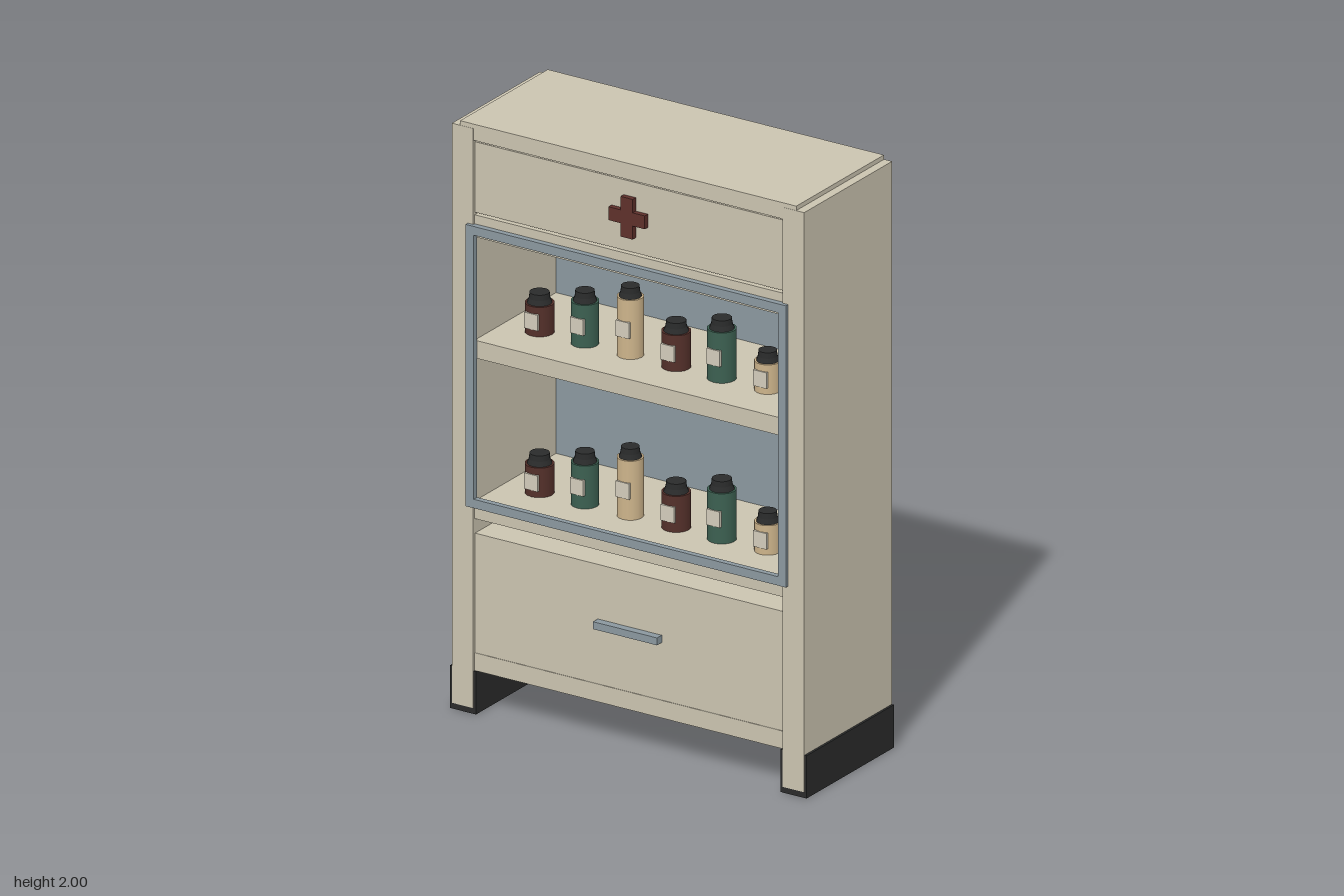
import * as THREE from 'three';

const mat = (name, color) => {
  const m = new THREE.MeshStandardMaterial({ color });
  m.name = name;
  return m;
};

export function createModel() {
  const cream = mat('cream paint', 0xcbc4b0);
  const steel = mat('blue grey steel', 0x8b989f);
  const black = mat('black rubber', 0x2a2b2b);
  const red = mat('dark red', 0x5e302b);
  const brown = mat('brown glass', 0x54302a);
  const green = mat('green glass', 0x3c6051);
  const tan = mat('tan ceramic', 0xcdb48b);
  const paper = mat('label paper', 0xd3ccbb);

  const model = new THREE.Group();
  model.name = 'medicineCabinet';

  // Box given by its limits on each axis
  const box = (name, material, [x0, x1], [y0, y1], [z0, z1], parent = model) => {
    const mesh = new THREE.Mesh(new THREE.BoxGeometry(x1 - x0, y1 - y0, z1 - z0), material);
    mesh.position.set((x0 + x1) / 2, (y0 + y1) / 2, (z0 + z1) / 2);
    mesh.name = name;
    parent.add(mesh);
    return mesh;
  };
  const span = (s, a, b) => (s > 0 ? [a, b] : [-b, -a]);

  // Side panels with rubber boots
  for (const s of [-1, 1]) {
    const side = s > 0 ? 'left' : 'right';
    box(side + 'SidePanel', cream, span(s, 0.58, 0.66), [0.02, 1.985], [-0.26, 0.24]);
    box(side + 'Boot', black, span(s, 0.571, 0.668), [0, 0.145], [-0.258, 0.238]);
  }

  // Horizontal boards running from front to back
  box('topBoard', cream, [-0.63, 0.63], [1.945, 2], [-0.259, 0.239]);
  const boards = { ceiling: [1.615, 1.69], shelf: [1.205, 1.265], floor: [0.66, 0.72], bottom: [0.145, 0.205] };
  for (const [name, y] of Object.entries(boards)) {
    box(name + 'Board', cream, [-0.58, 0.58], y, [-0.259, 0.232]);
  }

  // Back panel, header and drawer
  box('backPanel', steel, [-0.58, 0.58], [0.05, 1.96], [-0.25, -0.23]);
  box('headerPanel', cream, [-0.58, 0.58], [1.698, 1.937], [0.2, 0.23]);
  box('drawer', cream, [-0.58, 0.58], [0.2, 0.61], [-0.23, 0.23]);
  box('drawerHandle', steel, [-0.12, 0.12], [0.4, 0.425], [0.23, 0.257]);

  // Cross emblem
  const cross = new THREE.Shape();
  const a = 0.0225, b = 0.068;
  cross.setFromPoints([
    [-a, -b], [a, -b], [a, -a], [b, -a], [b, a], [a, a],
    [a, b], [-a, b], [-a, a], [-b, a], [-b, -a], [-a, -a],
  ].map(([x, y]) => new THREE.Vector2(x, y)));
  const emblem = new THREE.Mesh(new THREE.ExtrudeGeometry(cross, { depth: 0.02, bevelEnabled: false }), red);
  emblem.position.set(0, 1.818, 0.228);
  emblem.name = 'crossEmblem';
  model.add(emblem);

  // Window frame
  const frame = new THREE.Shape();
  frame.setFromPoints([[-0.6, 0.705], [0.6, 0.705], [0.6, 1.66], [-0.6, 1.66]].map(p => new THREE.Vector2(...p)));
  const opening = new THREE.Path();
  opening.setFromPoints([[-0.57, 0.735], [-0.57, 1.63], [0.57, 1.63], [0.57, 0.735]].map(p => new THREE.Vector2(...p)));
  frame.holes.push(opening);
  const windowFrame = new THREE.Mesh(new THREE.ExtrudeGeometry(frame, { depth: 0.02, bevelEnabled: false }), steel);
  windowFrame.position.z = 0.233;
  windowFrame.name = 'windowFrame';
  model.add(windowFrame);

  // Bottle with a stepped cap and a flat label
  const cylinder = (name, material, rTop, rBottom, y0, y1, parent) => {
    const mesh = new THREE.Mesh(new THREE.CylinderGeometry(rTop, rBottom, y1 - y0, 16), material);
    mesh.position.y = (y0 + y1) / 2;
    mesh.name = name;
    parent.add(mesh);
  };
  const makeBottle = (x, y, r, h, material) => {
    const bottle = new THREE.Group();
    bottle.name = 'bottle';
    cylinder('bottleBody', material, r, r, 0, h, bottle);
    cylinder('bottleNeck', black, r * 0.72, r * 0.85, h, h + 0.016, bottle);
    cylinder('bottleCap', black, r * 0.68, r * 0.72, h + 0.016, h + 0.035, bottle);
    box('bottleLabel', paper, [-0.025, 0.025], [h / 2 - 0.027, h / 2 + 0.027], [r - 0.006, r + 0.003], bottle);
    bottle.position.set(x, y, 0.06);
    model.add(bottle);
  };
  const bottles = [
    [-0.45, 0.047, 0.1, brown], [-0.28, 0.045, 0.145, green], [-0.11, 0.043, 0.2, tan],
    [0.062, 0.047, 0.122, brown], [0.233, 0.047, 0.17, green], [0.405, 0.043, 0.1, tan],
  ];
  for (const y of [boards.shelf[1], boards.floor[1]]) {
    for (const [x, r, h, material] of bottles) makeBottle(x, y, r, h, material);
  }

  return model;
}
